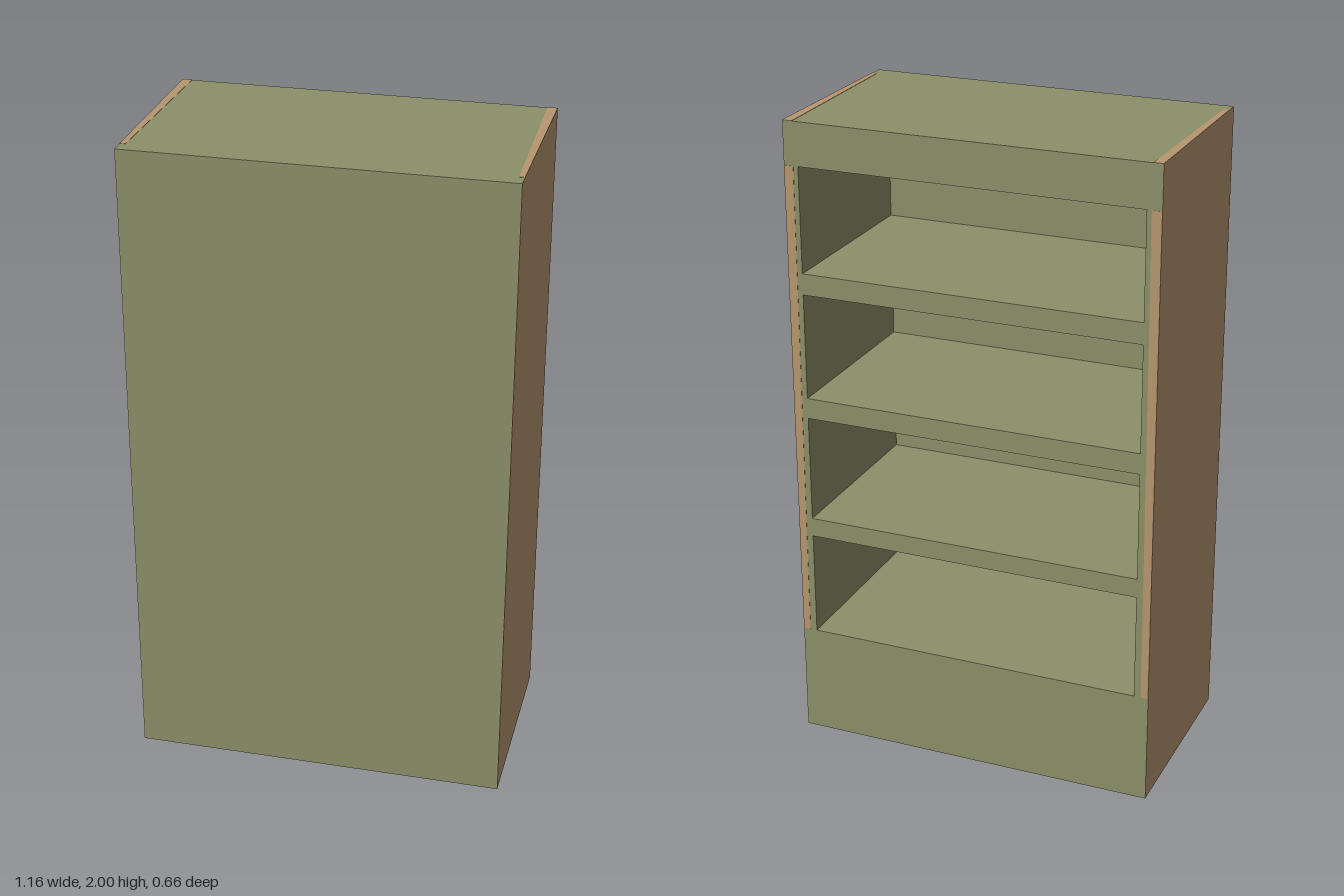
import * as THREE from 'three';

const W = 1.146, D = 0.637, H = 1.999; // carcass size
const SKIN = 0.002;                    // side veneer thickness
const FRONT = 0.03;                    // closed panel thickness

export function createModel() {
  const green = new THREE.MeshStandardMaterial({ color: 0x8c9069 });
  green.name = 'olive green';
  const tan = new THREE.MeshStandardMaterial({ color: 0xb8976f });
  tan.name = 'tan wood';

  const model = new THREE.Group();
  model.name = 'bookcase';
  const add = (name, geometry, material, x = 0, y = 0, z = 0) => {
    const mesh = new THREE.Mesh(geometry, material);
    mesh.name = name;
    mesh.position.set(x, y, z);
    model.add(mesh);
    return mesh;
  };
  const polygon = (points) => new THREE.Shape(points.map(([x, y]) => new THREE.Vector2(x, y)));

  // Carcass with four shelf bays open to the back
  const body = polygon([[-W / 2, 0], [W / 2, 0], [W / 2, H], [-W / 2, H]]);
  const bays = [[0.35, 0.682], [0.742, 1.078], [1.143, 1.474], [1.54, 1.866]];
  for (const [low, high] of bays) {
    body.holes.push(new THREE.Path(
      [[-0.53, low], [-0.53, high], [0.53, high], [0.53, low]].map(([x, y]) => new THREE.Vector2(x, y))
    ));
  }
  add('shelfCarcass', new THREE.ExtrudeGeometry(body, { depth: D - FRONT, bevelEnabled: false }),
    green, 0, 0, -D / 2);

  // Closed panel across the front
  add('frontPanel', new THREE.BoxGeometry(W, H, FRONT), green, 0, H / 2, D / 2 - FRONT / 2);

  for (const [side, s] of [['left', 1], ['right', -1]]) {
    // Outer side board
    add(side + 'SideBoard', new THREE.BoxGeometry(SKIN, H, D), tan, s * (W / 2 + SKIN / 2), H / 2, 0);

    // Tapered edge of the side board showing on the top
    const topEdge = polygon([[s * 0.545, D / 2], [s * 0.575, D / 2], [s * 0.575, -0.272], [s * 0.558, -0.272]]);
    const topGeometry = new THREE.ExtrudeGeometry(topEdge, { depth: 0.001, bevelEnabled: false });
    topGeometry.rotateX(-Math.PI / 2);
    add(side + 'TopEdge', topGeometry, tan, 0, H, 0);

    // Edge of the side board showing beside the bays
    const backEdge = polygon([[s * 0.552, 0.35], [s * 0.575, 0.35], [s * 0.575, 1.866], [s * 0.545, 1.866]]);
    add(side + 'BackEdge', new THREE.ExtrudeGeometry(backEdge, { depth: 0.001, bevelEnabled: false }),
      tan, 0, 0, -D / 2 - 0.001);
  }

  // The whole case stands slightly turned
  model.rotation.y = -0.0175;
  return model;
}
